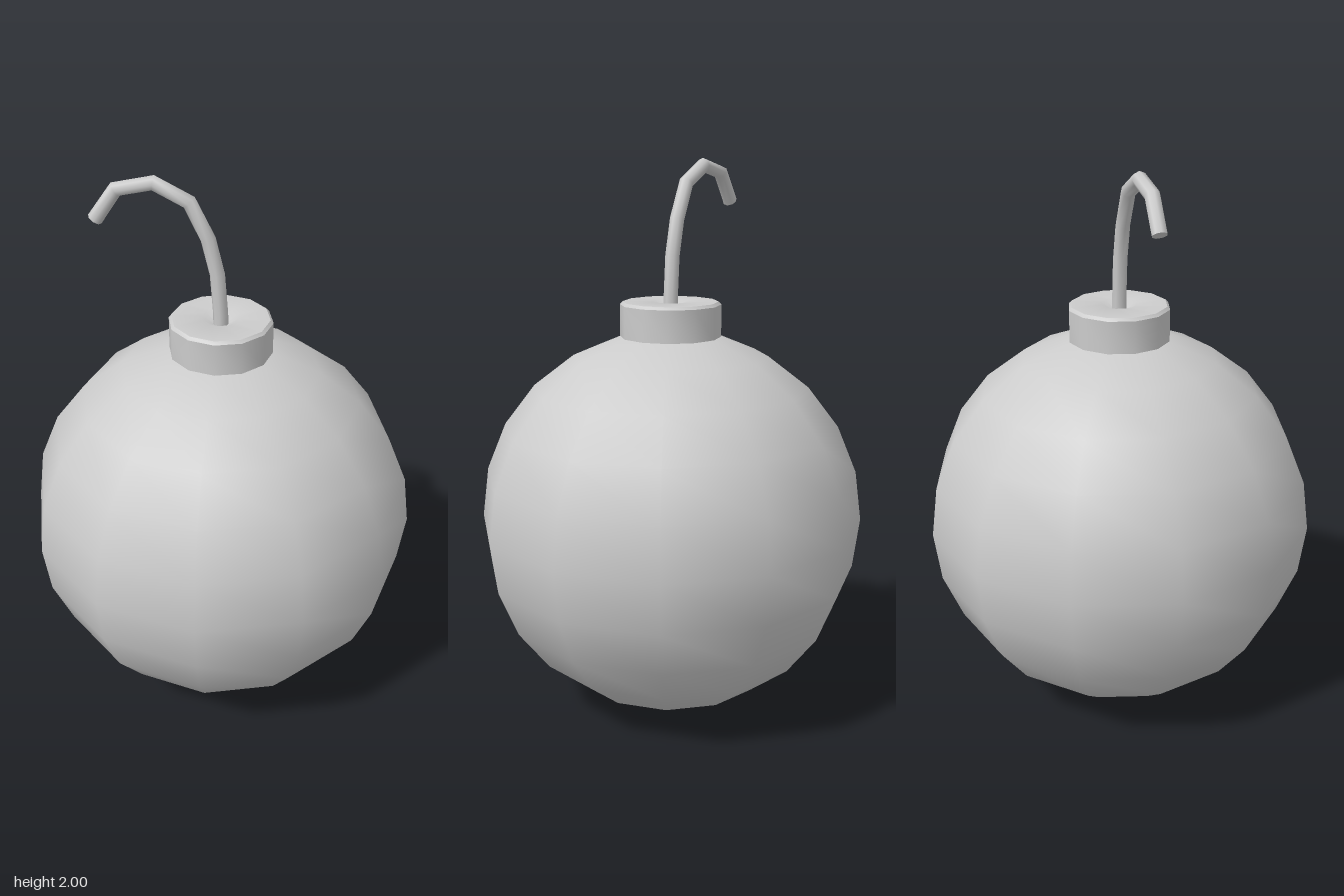
import * as THREE from 'three';
import { toCreasedNormals } from 'three/addons/utils/BufferGeometryUtils.js';

const SIDES = 12;
const RADIUS = 0.702;
const FUSE_RADIUS = 0.026;

export function createModel() {
  const model = new THREE.Group();
  model.name = 'roundBomb';
  const material = new THREE.MeshStandardMaterial({ color: 0xcccccc });

  const add = (name, geometry, parent = model) => {
    const mesh = new THREE.Mesh(geometry, material);
    mesh.name = name;
    parent.add(mesh);
    return mesh;
  };

  // Round body, smooth shaded with a coarse outline
  add('body', new THREE.SphereGeometry(RADIUS, SIDES, 12)).position.y = RADIUS;

  // Collar with a softened rim and a shallow conical fuse hole
  const profile = [
    [0.181, 1.375], [0.181, 1.495], [0.171, 1.505], [0.063, 1.505], [0, 1.465],
  ].map(([r, y]) => new THREE.Vector2(r, y));
  add('collar', toCreasedNormals(new THREE.LatheGeometry(profile, SIDES), 0.62));

  // Curled fuse: one tube ring at each path point
  const fuse = new THREE.Group();
  fuse.name = 'fuse';
  model.add(fuse);
  const points = [
    [0, 1.46], [-0.001, 1.52], [-0.012, 1.665], [-0.042, 1.79],
    [-0.103, 1.915], [-0.22, 1.975], [-0.344, 1.948], [-0.418, 1.841],
  ].map(([x, y]) => new THREE.Vector3(x, y, 0));
  const path = new THREE.CatmullRomCurve3(points, false, 'catmullrom');
  path.getPointAt = (u, target) => path.getPoint(u, target);
  path.getTangentAt = (u, target) => path.getTangent(u, target);
  add('fuseCord', new THREE.TubeGeometry(path, points.length - 1, FUSE_RADIUS, 8), fuse);

  // Flat end of the fuse
  const tip = add('fuseTip', new THREE.CircleGeometry(FUSE_RADIUS, 8), fuse);
  tip.position.copy(points.at(-1));
  tip.quaternion.setFromUnitVectors(new THREE.Vector3(0, 0, 1), path.getTangent(1));

  return model;
}
